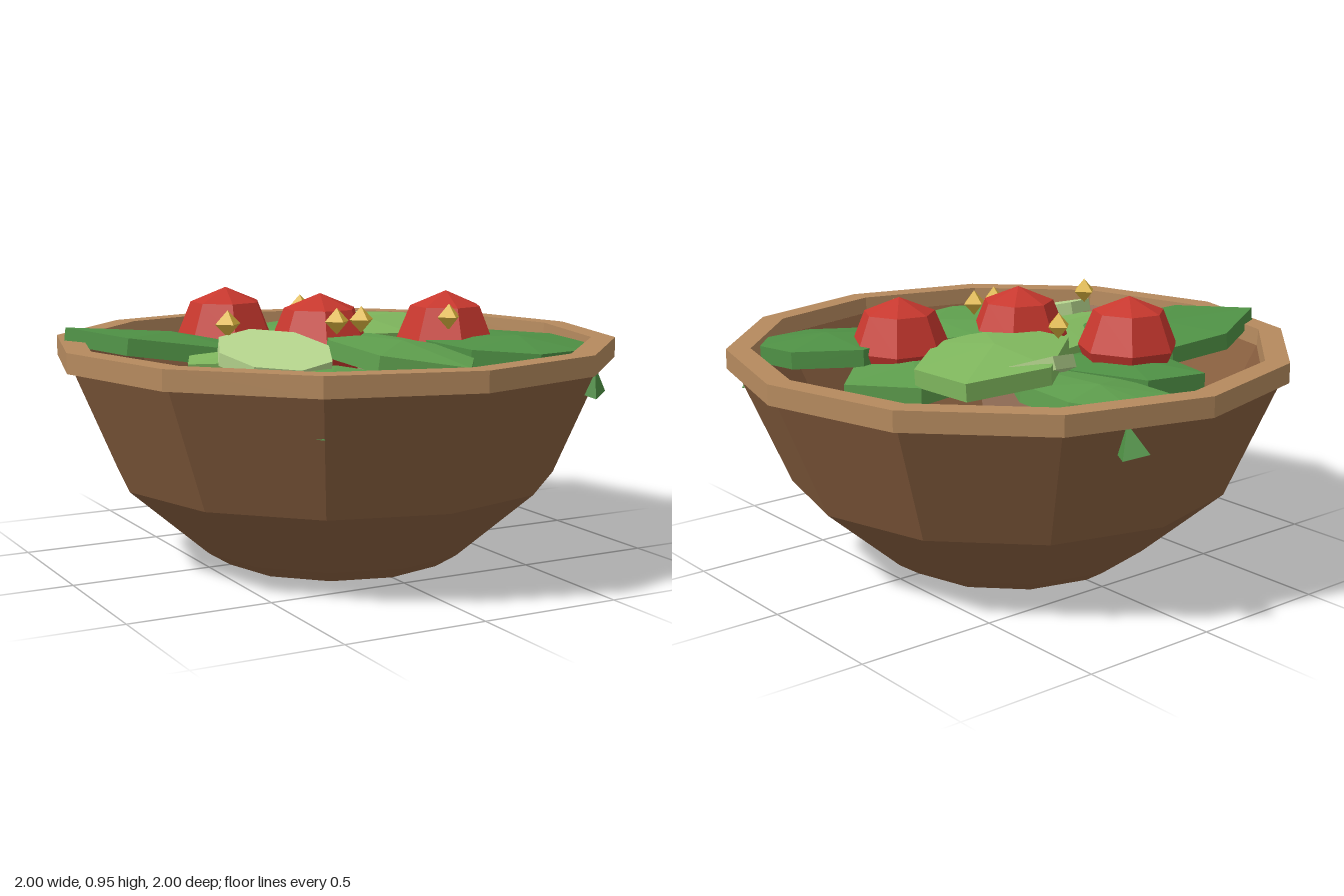
import * as THREE from 'three';

const mat = (color, extra = {}) =>
  new THREE.MeshStandardMaterial({ color, flatShading: true, ...extra });

const WOOD = mat(0x8a6040), RIM = mat(0xb58a5e);
const GREEN = mat(0x5fa04e), DARK = mat(0x4f9145), LIGHT = mat(0x80b85e);
const RED = mat(0xc8382e), YELLOW = mat(0xe0b840), PALE = mat(0xb8d890);

// Twelve-sided turned shape from [radius, height] pairs
function turned(points) {
  return new THREE.LatheGeometry(points.map(([r, y]) => new THREE.Vector2(r, y)), 12);
}

// Thick leaf: outline in [x, z], sloping plane, raised middle, flat sides
function leafGeometry(outline, y, sx, sz, crown = 0.025, thick = 0.06) {
  const n = outline.length;
  const cx = outline.reduce((s, p) => s + p[0], 0) / n;
  const cz = outline.reduce((s, p) => s + p[1], 0) / n;
  let area = 0;
  outline.forEach(([x, z], i) => {
    const [x2, z2] = outline[(i + 1) % n];
    area += z * x2 - x * z2;
  });
  const loop = area > 0 ? outline : [...outline].reverse();
  const down = new THREE.Vector3(sx, -1, sz).normalize().multiplyScalar(thick);
  const top = loop.map(([x, z]) => new THREE.Vector3(x, y + sx * (x - cx) + sz * (z - cz), z));
  const bottom = top.map((p) => p.clone().add(down));
  const peak = new THREE.Vector3(cx, y + crown, cz);
  const base = new THREE.Vector3(cx, y, cz).add(down);
  const tris = [];
  for (let i = 0; i < n; i++) {
    const j = (i + 1) % n;
    tris.push(peak, top[i], top[j], base, bottom[j], bottom[i]);
    tris.push(bottom[i], bottom[j], top[j], bottom[i], top[j], top[i]);
  }
  const geo = new THREE.BufferGeometry().setFromPoints(tris);
  geo.computeVertexNormals();
  return geo;
}

export function createModel() {
  const group = new THREE.Group();
  const add = (name, geo, material, pos = [0, 0, 0], rot = [0, 0, 0]) => {
    const mesh = new THREE.Mesh(geo, material);
    mesh.name = name;
    mesh.position.set(...pos);
    mesh.rotation.set(...rot);
    group.add(mesh);
    return mesh;
  };

  // Bowl wall, outside up and inside down
  add('bowl', turned([[0, 0], [0.42, 0], [0.5, 0.05], [0.79, 0.3], [0.975, 0.73],
    [0.91, 0.73], [0.69, 0.28], [0.42, 0.09], [0, 0.09]]), WOOD);
  add('rim', turned([[0.91, 0.72], [1, 0.72], [1, 0.79], [0.915, 0.79], [0.91, 0.72]]), RIM);

  // Salad leaves: material, height, slope in x, slope in z, outline
  const leaves = [
    ['leftLeaf', DARK, 0.79, -0.13, 0, [[-0.89, -0.33], [-0.62, -0.46], [-0.4, -0.41],
      [-0.2, -0.12], [-0.37, 0.09], [-0.76, -0.06]]],
    ['backLeaf', GREEN, 0.74, 0.1, 0, [[0.08, -0.89], [0.22, -0.88], [0.33, -0.69],
      [0.3, -0.42], [0.1, -0.1], [-0.12, -0.45], [-0.1, -0.75]]],
    ['backLeftLeaf', DARK, 0.73, 0, 0, [[-0.35, -0.62], [-0.13, -0.57], [-0.02, -0.3],
      [-0.15, -0.1], [-0.3, -0.15], [-0.4, -0.4]]],
    ['rightLightLeaf', LIGHT, 0.81, -0.04, -0.04, [[0.24, -0.5], [0.55, -0.45], [0.54, -0.16],
      [0.26, 0.1], [0.04, 0.1], [-0.08, -0.05], [-0.08, -0.22]]],
    ['rightLeaf', GREEN, 0.74, 0, 0, [[0.54, -0.2], [0.71, 0], [0.55, 0.18], [0.25, 0.22],
      [0.15, 0.05], [0.3, -0.15]]],
    ['frontRightLeaf', DARK, 0.785, 0, -0.06, [[0.53, 0.15], [0.72, 0.31], [0.73, 0.5],
      [0.62, 0.63], [0.44, 0.65], [0.26, 0.5], [0.2, 0.25]]],
    ['frontLeaf', GREEN, 0.785, -0.1, -0.08, [[-0.17, 0.28], [-0.1, 0.1], [0.1, 0.08],
      [0.38, 0.3], [0.27, 0.5], [0.13, 0.7], [-0.12, 0.54]]],
    ['frontLeftLeaf', GREEN, 0.73, 0, 0, [[-0.56, 0.53], [-0.45, 0.75], [-0.33, 0.79],
      [-0.19, 0.76], [-0.08, 0.58], [-0.15, 0.3], [-0.42, 0.28]]],
    ['leftLightLeaf', LIGHT, 0.76, 0, 0, [[-0.67, 0.24], [-0.58, 0.04], [-0.25, -0.12],
      [-0.08, -0.17], [-0.03, 0.1], [-0.2, 0.3], [-0.42, 0.32]]],
  ];
  for (const [name, material, y, sx, sz, outline] of leaves) {
    add(name, leafGeometry(outline, y, sx, sz), material);
  }

  // Tomatoes
  for (const [x, z, turn] of [[-0.29, -0.3, 0], [-0.1, 0.08, -0.12], [0.345, 0.195, 0]]) {
    add('tomato', new THREE.SphereGeometry(0.18, 7, 4), RED, [x, 0.775, z], [0, Math.PI + turn, 0]);
  }

  // Cucumber slices leaning toward the front
  add('cucumberSlice', new THREE.CylinderGeometry(0.2, 0.2, 0.045, 8), PALE,
    [-0.39, 0.78, 0.31], [0.24, 0, 0]);
  add('cucumberSlice', new THREE.CylinderGeometry(0.19, 0.19, 0.045, 8), PALE,
    [0.2, 0.75, -0.295], [0.4, 0, 0]);

  // Corn kernels
  for (const [x, z] of [[-0.49, 0.16], [-0.13, 0.26], [-0.03, 0.25], [-0.02, -0.235], [0.28, 0.32]]) {
    add('cornKernel', new THREE.OctahedronGeometry(0.046), YELLOW, [x, 0.875, z]);
  }

  // Leaf scraps stuck on the outside of the bowl
  for (const [x, y, z] of [[-0.46, 0.64, 0.74], [0.7, 0.665, 0.59], [0.28, 0.685, -0.92]]) {
    add('leafScrap', new THREE.ConeGeometry(0.062, 0.1, 4), DARK, [x, y, z],
      [0.2, Math.atan2(x, z) + 0.5, 0.15]);
  }
  return group;
}
